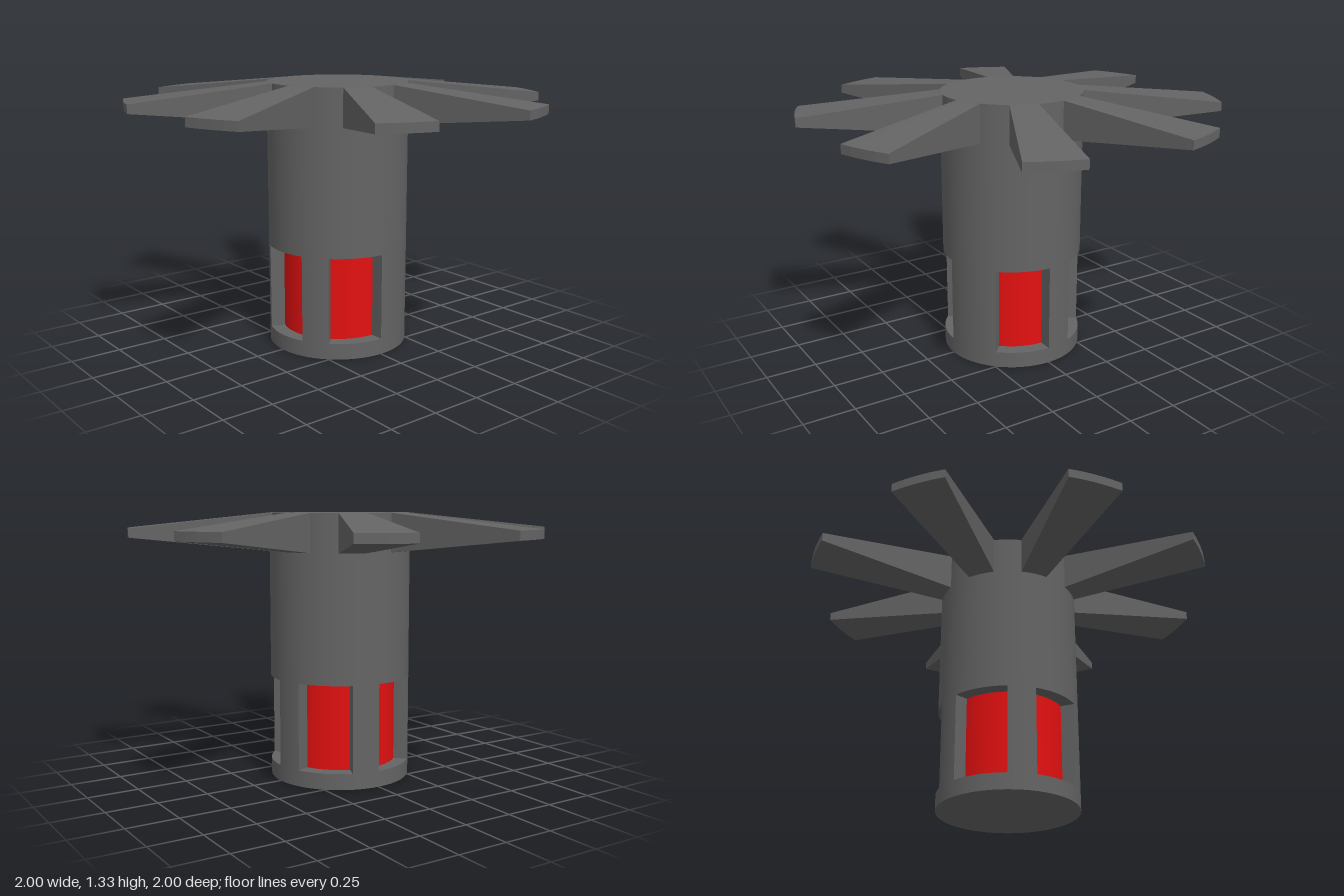
import * as THREE from 'three';

const DEG = Math.PI / 180;
const BODY_R = 0.35, CORE_R = 0.28;
const HEIGHT = 1.325, WINDOW_BOTTOM = 0.08, WINDOW_TOP = 0.51;

export function createModel() {
  const grey = new THREE.MeshStandardMaterial({ color: 0x646464 });
  grey.name = 'dark grey';
  const greyThin = grey.clone();
  greyThin.side = THREE.DoubleSide;
  const red = new THREE.MeshStandardMaterial({ color: 0xe31010 });
  red.name = 'red';

  const model = new THREE.Group();
  model.name = 'bladedCylinder';
  const add = (name, geometry, material = grey) => {
    const mesh = new THREE.Mesh(geometry, material);
    mesh.name = name;
    model.add(mesh);
    return mesh;
  };
  const tube = (name, y0, y1) => {
    add(name, new THREE.CylinderGeometry(BODY_R, BODY_R, y1 - y0, 64)).position.y = (y0 + y1) / 2;
  };

  // Solid base and upper body, above and below the window band
  tube('base', 0, WINDOW_BOTTOM);
  tube('upperBody', WINDOW_TOP, HEIGHT);

  // Red core seen through the windows
  const bandH = WINDOW_TOP - WINDOW_BOTTOM, bandY = (WINDOW_TOP + WINDOW_BOTTOM) / 2;
  add('core', new THREE.CylinderGeometry(CORE_R, CORE_R, bandH, 64, 1, true), red).position.y = bandY;

  // Posts between the five 45 degree windows: [start, end] around the body
  const posts = [[22.5, 45], [90, 135], [180, 202.5], [247.5, 270], [315, 337.5]];
  for (const [start, end] of posts) {
    const skin = new THREE.CylinderGeometry(BODY_R, BODY_R, bandH, 16, 1, true, start * DEG, (end - start) * DEG);
    add('post', skin).position.y = bandY;
    for (const edge of [start, end]) {
      const wall = new THREE.PlaneGeometry(BODY_R - CORE_R, bandH);
      wall.rotateY(Math.PI / 2).translate(0, bandY, (BODY_R + CORE_R) / 2).rotateY(edge * DEG);
      add('windowWall', wall, greyThin);
    }
  }

  // Blade: a box bent onto two arcs, wide and thin at the tip, narrow and tall at the root
  const box = new THREE.BoxGeometry(1, 1, 1, 4, 1, 1);
  const p = box.attributes.position;
  for (let i = 0; i < p.count; i++) {
    const tip = p.getZ(i) > 0, top = p.getY(i) > 0;
    const radius = tip ? 1.036 : 0.348;
    const angle = p.getX(i) * 2 * (tip ? 7.4 : 11.25) * DEG;
    const y = tip ? (top ? 1.253 : 1.21) : (top ? HEIGHT : 1.138);
    p.setXYZ(i, radius * Math.sin(angle), y, radius * Math.cos(angle));
  }
  const blade = box.toNonIndexed();
  blade.computeVertexNormals();
  for (let k = 0; k < 8; k++) add('blade', blade).rotation.y = (22.5 + 45 * k) * DEG;

  return model;
}
